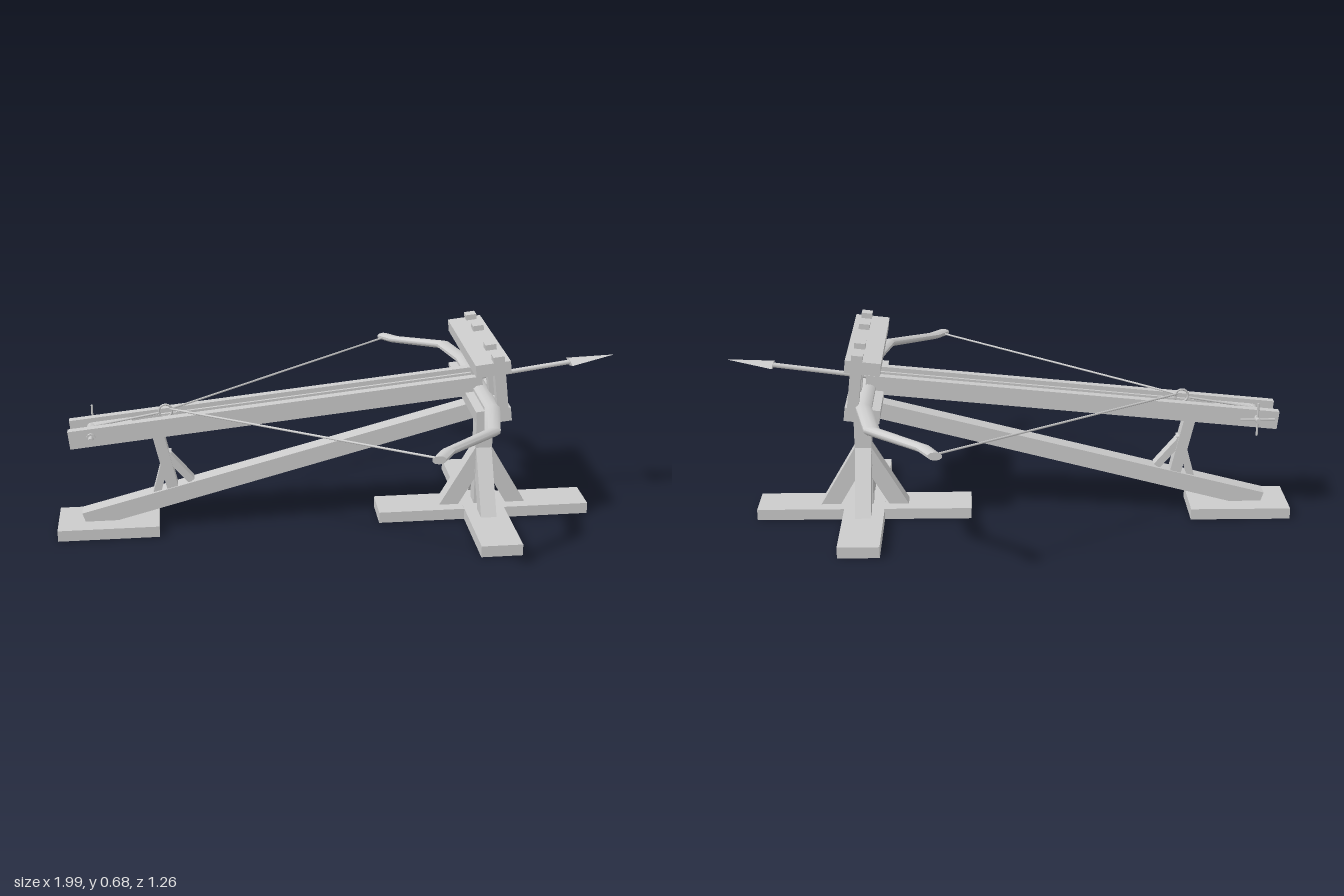
import * as THREE from 'three';
import { toCreasedNormals } from 'three/addons/utils/BufferGeometryUtils.js';

const wood = new THREE.MeshStandardMaterial({ color: 0xcccccc });
const flat = new THREE.MeshStandardMaterial({ color: 0xcccccc, flatShading: true });

function add(parent, name, geo, x = 0, y = 0, z = 0, mat = flat) {
  const m = new THREE.Mesh(geo, mat);
  m.name = name;
  m.position.set(x, y, z);
  parent.add(m);
  return m;
}
const box = (parent, name, w, h, d, x, y, z = 0) =>
  add(parent, name, new THREE.BoxGeometry(w, h, d), x, y, z);

// Square timber between two points of the x-y plane
function beam(parent, name, a, b, thick, depth) {
  const dx = b[0] - a[0], dy = b[1] - a[1];
  const m = box(parent, name, Math.hypot(dx, dy), thick, depth, (a[0] + b[0]) / 2, (a[1] + b[1]) / 2);
  m.rotation.z = Math.atan2(dy, dx);
  return m;
}

// Round bar between two 3D points
function rod(parent, name, a, b, r, sides = 8) {
  const p = new THREE.Vector3(...a), q = new THREE.Vector3(...b);
  const d = q.clone().sub(p);
  const m = add(parent, name, new THREE.CylinderGeometry(r, r, d.length(), sides), 0, 0, 0, wood);
  m.position.copy(p).add(q).multiplyScalar(0.5);
  m.quaternion.setFromUnitVectors(new THREE.Vector3(0, 1, 0), d.normalize());
  return m;
}

// Side profile extruded symmetrically about z = 0
function slab(points, depth) {
  const s = new THREE.Shape(points.map(p => new THREE.Vector2(...p)));
  return new THREE.ExtrudeGeometry(s, { depth, bevelEnabled: false }).translate(0, 0, -depth / 2);
}

// Bow: one bar whose rings follow a list of [z, x, y, halfWidth, halfHeight]
function bowGeometry() {
  const half = [[0.26, 0.495, 0.495, 0.028, 0.017], [0.455, 0.455, 0.49, 0.028, 0.016],
    [0.575, 0.285, 0.478, 0.026, 0.014], [0.632, 0.248, 0.474, 0.024, 0.014]];
  const rings = [...half.map(([z, ...r]) => [-z, ...r]).reverse(), ...half];
  const n = rings.length - 1;
  const geo = new THREE.CylinderGeometry(1, 1, n, 10, n);
  const p = geo.attributes.position;
  for (let i = 0; i < p.count; i++) {
    const [z, x, y, rx, ry] = rings[Math.round(p.getY(i) + n / 2)];
    p.setXYZ(i, x + p.getX(i) * rx, y - p.getZ(i) * ry, z);
  }
  return toCreasedNormals(geo, 0.7);
}

export function createModel() {
  const model = new THREE.Group();
  model.name = 'ballista';

  // Stand: crossed feet, post and four braces
  const stand = new THREE.Group();
  stand.name = 'stand';
  stand.position.x = 0.522;
  model.add(stand);
  box(stand, 'longFoot', 0.765, 0.04, 0.145, 0, 0.02);
  box(stand, 'crossFoot', 0.145, 0.041, 0.77, 0, 0.0205);
  box(stand, 'post', 0.06, 0.42, 0.06, 0, 0.24);
  const brace = slab([[0.157, 0.04], [0.01, 0.293], [0.01, 0.173], [0.087, 0.04]], 0.056);
  for (let i = 0; i < 4; i++) add(stand, 'brace', brace).rotation.y = i * Math.PI / 2;

  // Trailing beam, its foot and the strut carrying the stock
  box(model, 'rearFoot', 0.355, 0.04, 0.2, -0.8225, 0.02);
  add(model, 'trailBeam', slab([[-0.905, 0.04], [-0.79, 0.04], [0.52, 0.385], [0.52, 0.445], [-0.915, 0.072]], 0.06));
  beam(model, 'stockStrut', [-0.64, 0.37], [-0.59, 0.14], 0.04, 0.05);
  beam(model, 'strutBrace', [-0.605, 0.29], [-0.65, 0.13], 0.026, 0.04);
  beam(model, 'strutBrace', [-0.62, 0.29], [-0.525, 0.175], 0.026, 0.04);

  // Tilted stock: floor, side rails and guides for the bolt
  const stock = new THREE.Group();
  stock.name = 'stock';
  stock.position.set(-0.22, 0.438, 0);
  stock.rotation.z = 0.101;
  model.add(stock);
  box(stock, 'stockFloor', 1.45, 0.034, 0.09, 0, -0.0155);
  box(stock, 'catchBlock', 0.14, 0.02, 0.068, -0.575, 0.009);
  for (const s of [-1, 1]) {
    box(stock, 'sideRail', 1.45, 0.065, 0.028, 0, 0, s * 0.053);
    box(stock, 'boltGuide', 1.18, 0.024, 0.01, 0.11, 0.011, s * 0.016);
  }

  // Winch at the tail: axle, rope coils, spoked handle and end cap
  const winch = new THREE.Group();
  winch.name = 'winch';
  winch.position.set(-0.865, 0.377, 0);
  model.add(winch);
  rod(winch, 'axle', [0, 0, -0.106], [0, 0, 0.106], 0.009);
  for (let i = 0; i < 5; i++)
    add(winch, 'ropeCoil', new THREE.TorusGeometry(0.013, 0.005, 6, 12), 0, 0, -0.024 + i * 0.012, wood);
  rod(winch, 'handleSpoke', [0, -0.06, -0.086], [0, 0.06, -0.086], 0.004, 6);
  rod(winch, 'handleSpoke', [-0.06, 0, -0.086], [0.06, 0, -0.086], 0.004, 6);
  rod(winch, 'axleCollar', [0, 0, 0.072], [0, 0, 0.08], 0.016);

  // Front frame: two cross beams joined by four uprights
  const frame = new THREE.Group();
  frame.name = 'frame';
  frame.position.set(0.502, 0.468, 0);
  frame.rotation.z = 0.115;
  model.add(frame);
  box(frame, 'lowerBeam', 0.12, 0.048, 0.52, 0, 0);
  box(frame, 'upperBeam', 0.12, 0.044, 0.52, 0.012, 0.168);
  for (const z of [-0.24, -0.108, 0.108, 0.24])
    box(frame, 'upright', 0.038, 0.215, 0.04, 0.033, 0.102, z);

  // Bow, string and the claw ring holding the string
  add(model, 'bow', bowGeometry(), 0, 0, 0, wood);
  for (const s of [-1, 1])
    rod(model, 'bowString', [0.248, 0.474, s * 0.615], [-0.59, 0.443, 0], 0.004, 6);
  add(model, 'clawRing', new THREE.TorusGeometry(0.023, 0.004, 6, 16), -0.607, 0.437, 0, wood);
  rod(model, 'drawRope', [-0.865, 0.39, 0], [-0.63, 0.43, 0], 0.004, 6);

  // Bolt with a flat four-sided head
  const bolt = new THREE.Group();
  bolt.name = 'bolt';
  bolt.position.set(-0.705, 0.357, 0);
  bolt.rotation.z = 0.133;
  model.add(bolt);
  rod(bolt, 'boltShaft', [0, 0, 0], [1.56, 0, 0], 0.009);
  const head = new THREE.ConeGeometry(1, 0.165, 4).rotateZ(-Math.PI / 2).scale(1, 0.013, 0.046);
  add(bolt, 'boltHead', head, 1.627, 0, 0);

  return model;
}
